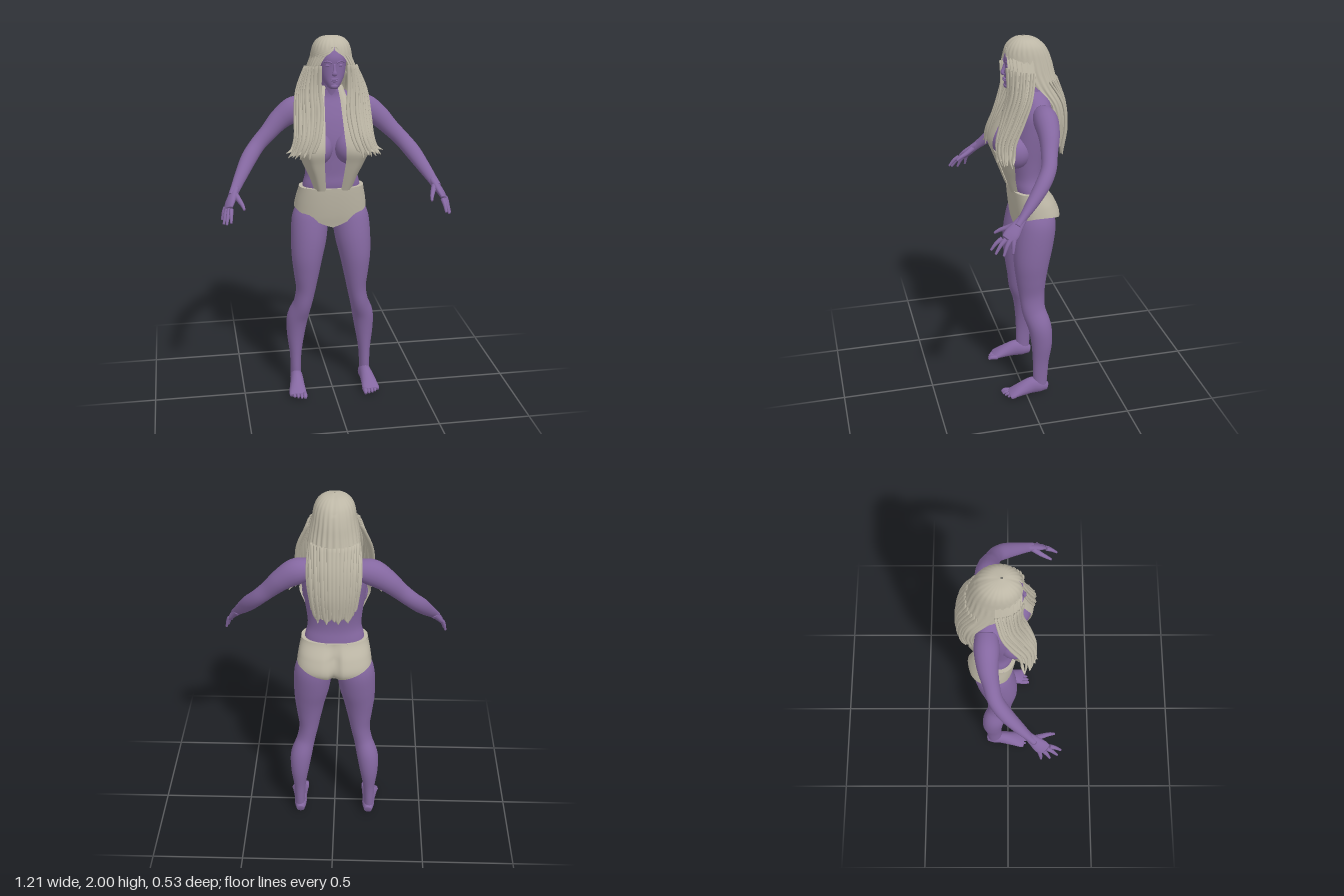
import * as THREE from 'three';
import { mergeVertices } from 'three/addons/utils/BufferGeometryUtils.js';

const skin = new THREE.MeshStandardMaterial({ color: 0x8568a1 });
skin.name = 'violet skin';
const pale = new THREE.MeshStandardMaterial({ color: 0xbdb7a6, side: THREE.DoubleSide });
pale.name = 'pale hair and fabric';

const { lerp } = THREE.MathUtils;
const V = (x, y, z) => new THREE.Vector3(x, y, z);
const TAU = Math.PI * 2;

// Smooth interpolation through rows of numbers, t in 0..1
function spline(rows, t) {
  const n = rows.length - 1, f = Math.min(Math.max(t, 0), 1) * n, i = Math.min(Math.floor(f), n - 1), k = f - i;
  const r = (j) => rows[Math.min(Math.max(j, 0), n)];
  return rows[0].map((_, c) => {
    const p0 = r(i - 1)[c], p1 = r(i)[c], p2 = r(i + 1)[c], p3 = r(i + 2)[c];
    return p1 + 0.5 * k * (p2 - p0 + k * (2 * p0 - 5 * p1 + 4 * p2 - p3 + k * (3 * (p1 - p2) + p3 - p0)));
  });
}

// Smooth surface from a rule fn(u, v) -> [x, y, z]; its front is du x dv
function surface(nu, nv, fn) {
  const pos = [], idx = [];
  for (let j = 0; j <= nv; j++) for (let i = 0; i <= nu; i++) pos.push(...fn(i / nu, j / nv));
  for (let j = 0; j < nv; j++) for (let i = 0; i < nu; i++) {
    const a = j * (nu + 1) + i, d = a + nu + 1;
    idx.push(a, a + 1, d + 1, a, d + 1, d);
  }
  let g = new THREE.BufferGeometry();
  g.setAttribute('position', new THREE.Float32BufferAttribute(pos, 3));
  g.setIndex(idx);
  g = mergeVertices(g, 1e-5);
  g.computeVertexNormals();
  return g;
}

// Rounded limb through stations [x, y, z, radius along side, other radius], closed at both ends
function sweep(rows, side = V(1, 0, 0), nu = 16, nv = rows.length * 5) {
  return surface(nu, nv + 2, (u, v) => {
    const j = Math.round(v * (nv + 2)), t = (Math.min(Math.max(j, 1), nv + 1) - 1) / nv;
    const [x, y, z, a, b] = spline(rows, t);
    if (j === 0 || j === nv + 2) return [x, y, z];
    const p = spline(rows, t - 0.01), q = spline(rows, t + 0.01);
    const T = V(q[0] - p[0], q[1] - p[1], q[2] - p[2]).normalize();
    const S = side.clone().addScaledVector(T, -side.dot(T)).normalize(), N = S.clone().cross(T);
    const ang = u * TAU;
    return V(x, y, z).addScaledVector(S, a * Math.sin(ang)).addScaledVector(N, b * Math.cos(ang)).toArray();
  });
}

// Point on a body section row [y, half width, front z, back z]; angle 0 faces front
function onSection([y, w, zf, zb], ang, power = 0.9) {
  const s = Math.sin(ang), c = Math.cos(ang), p = (n) => Math.sign(n) * Math.abs(n) ** power;
  return [w * p(s), y, (zf + zb) / 2 + (zf - zb) / 2 * p(c)];
}
const sections = (rows, nu = 40, nv = 36) => surface(nu, nv, (u, v) => onSection(spline(rows, v), u * TAU));

export function createModel() {
  const model = new THREE.Group();
  model.name = 'figure';
  const add = (name, geo, mat) => {
    const m = new THREE.Mesh(geo, mat);
    m.name = name;
    model.add(m);
  };
  // Adds a part on the left and its mirror image on the right
  const pair = (name, geo, mat) => {
    add(name + 'Left', geo, mat);
    const g = geo.clone().scale(-1, 1, 1);
    g.index.array.reverse();
    g.computeVertexNormals();
    add(name + 'Right', g, mat);
  };
  const ball = (x, y, z, a, b, c) => new THREE.SphereGeometry(1, 24, 16).scale(a, b, c).translate(x, y, z);

  // Torso, neck and head
  add('torso', sections([[1.08, .16, .01, -.15], [1.2, .155, .04, -.135], [1.27, .14, .04, -.125],
    [1.35, .145, .045, -.133], [1.45, .158, .05, -.155], [1.55, .168, .03, -.17], [1.62, .165, .005, -.17],
    [1.68, .115, -.02, -.155], [1.72, .055, -.02, -.125]]), skin);
  add('neck', sweep([[0, 1.64, -.08, .065, .055], [0, 1.72, -.065, .048, .048], [0, 1.82, -.04, .046, .048]]), skin);
  add('head', sections([[1.735, .004, .05, .04], [1.74, .024, .066, .0], [1.765, .044, .07, -.05],
    [1.80, .062, .068, -.09], [1.85, .073, .068, -.12], [1.9, .077, .068, -.13], [1.95, .064, .04, -.11],
    [1.98, .03, .0, -.07]]), skin);
  pair('breast', ball(.088, 1.42, .035, .083, .088, .085), skin);

  // Face
  add('nose', sweep([[0, 1.865, .066, .007, .006], [0, 1.835, .074, .008, .009], [0, 1.818, .08, .013, .009],
    [0, 1.81, .072, .012, .006]]), skin);
  add('upperLip', ball(0, 1.789, .069, .022, .005, .008), skin);
  add('lowerLip', ball(0, 1.78, .069, .018, .006, .008), skin);
  add('chin', ball(0, 1.752, .06, .02, .014, .014), skin);
  pair('eye', ball(.031, 1.858, .059, .014, .007, .007), skin);
  pair('brow', sweep([[.012, 1.872, .067, .004, .005], [.034, 1.88, .062, .004, .006], [.055, 1.872, .048, .003, .004]],
    V(0, 1, 0)), skin);

  // Legs and feet
  pair('leg', sweep([[.085, 1.12, -.075, .075, .075], [.1, 1.06, -.078, .088, .094], [.112, 1, -.074, .1, .105],
    [.122, .9, -.058, .098, .106], [.133, .8, -.045, .086, .097], [.138, .7, -.042, .07, .083],
    [.143, .6, -.045, .054, .07], [.16, .51, -.053, .051, .065], [.186, .42, -.08, .059, .064],
    [.196, .32, -.09, .051, .058], [.199, .2, -.085, .034, .045], [.2, .1, -.082, .029, .041],
    [.2, .04, -.082, .03, .036]], V(1, 0, 0), 24), skin);
  pair('foot', sweep([[.197, .03, -.122, .022, .024], [.198, .042, -.085, .034, .042], [.2, .05, -.035, .036, .049],
    [.205, .035, .03, .043, .035], [.208, .022, .075, .048, .021], [.209, .015, .098, .045, .013]]), skin);
  for (let i = 0; i < 5; i++) {
    const x = .172 + i * .019, r = i ? .009 : .013, z = .133 - i * i * .0025;
    pair('toe', sweep([[x, .016, .08, r, r], [x, .02, z - .018, r, r], [x, .011, z, r * .6, r * .6]],
      V(1, 0, 0), 10), skin);
  }

  // Arms and hands
  pair('arm', sweep([[.12, 1.62, -.1, .055, .055], [.19, 1.605, -.1, .062, .068], [.265, 1.555, -.096, .053, .057],
    [.33, 1.49, -.08, .042, .046], [.39, 1.43, -.06, .039, .042], [.44, 1.37, -.015, .038, .042],
    [.487, 1.3, .05, .03, .034], [.522, 1.245, .105, .02, .026], [.54, 1.215, .135, .02, .024]], V(0, 0, 1), 20), skin);
  const spread = V(-.04, .015, .1);
  pair('palm', sweep([[.52, 1.248, .1, .022, .019], [.54, 1.215, .135, .03, .019], [.557, 1.185, .165, .038, .017],
    [.567, 1.163, .188, .034, .012]], spread), skin);
  const knuckles = [[.553, 1.166, .212], [.562, 1.164, .196], [.572, 1.162, .178], [.579, 1.164, .16]];
  const tips = [[.558, 1.112, .27], [.58, 1.098, .252], [.594, 1.09, .215], [.6, 1.1, .17]];
  knuckles.forEach((k, i) => {
    const mid = k.map((n, c) => lerp(n, tips[i][c], .5) + (c === 1 ? .008 : 0));
    pair('finger', sweep([[...k, .012, .012], [...mid, .01, .01], [...tips[i], .006, .006]], spread, 10), skin);
  });
  pair('thumb', sweep([[.528, 1.225, .13, .016, .016], [.508, 1.2, .175, .013, .013], [.495, 1.185, .21, .01, .01],
    [.488, 1.168, .237, .006, .006]], V(1, 0, 0), 10), skin);

  // Briefs with curved leg openings and a rear cleft
  const hips = [[.96, .2, .022, -.165], [1.04, .2, .036, -.215], [1.12, .19, .046, -.192], [1.2, .174, .052, -.142]];
  add('briefs', surface(64, 20, (u, v) => {
    const ang = u * TAU, c = Math.cos(ang);
    const edge = 1.075 - (c > 0 ? .1 : .07) * (1 - Math.abs(Math.sin(ang)));
    const y = lerp(edge, 1.2, v), p = onSection(spline(hips, (y - .96) / .24), ang, .82);
    if (c < 0) p[2] += .035 * Math.exp(-((p[0] / .022) ** 2)) * Math.min(1, (1.2 - y) / .08);
    return [p[0], y, p[2]];
  }), pale);
  add('crotch', ball(0, 1.0, -.07, .05, .035, .08), pale);
  add('waistHem', surface(48, 1, (u, v) => onSection([1.2, lerp(.174, .14, v), lerp(.052, .03, v), lerp(-.142, -.12, v)],
    u * TAU, .82)), pale);

  // Straps: rows of inner x, outer x, y, z
  const strap = [[.04, .1, 1.19, .053], [.048, .128, 1.27, .083], [.055, .165, 1.35, .112], [.056, .188, 1.42, .134],
    [.05, .16, 1.5, .108], [.045, .12, 1.6, .05], [.04, .08, 1.68, .005], [.03, .06, 1.74, -.03]];
  pair('strap', surface(12, 32, (u, v) => {
    const [x0, x1, y, z] = spline(strap, v), s = u * 2 - 1, wide = (x1 - x0) / .132;
    return [lerp(x0, x1, u), y, z - (s > 0 ? .07 : .012) * s * s * wide];
  }), pale);

  // Hair crown and back: rows of height, half width, front z, back z, opening angle
  const shell = [[2, .003, -.02, -.03, 0], [1.99, .055, .02, -.085, 0], [1.965, .085, .052, -.125, 0],
    [1.93, .1, .07, -.15, .1], [1.88, .109, .078, -.17, .75], [1.82, .12, .07, -.185, 1.1], [1.75, .13, .02, -.205, 1.5],
    [1.67, .137, -.06, -.235, 1.57], [1.58, .135, -.09, -.25, 1.57], [1.5, .125, -.09, -.245, 1.57],
    [1.43, .115, -.09, -.235, 1.57]];
  const crown = (u, v, lift = 0) => {
    const [y, w, zf, zb, open] = spline(shell, v);
    const ang = lerp(TAU - open, open, u);
    const k = lift + .003 * Math.sin(ang * 26) * Math.min(1, v * 2);
    const p = onSection([y, w + k, zf + k, zb - k], ang, .95);
    if (v < .3) p[1] -= .006 * Math.exp(-((p[0] / .01) ** 2)) * v / .3;
    return p;
  };
  add('hairShell', surface(96, 50, (u, v) => crown(u, v)), pale);
  for (let i = 0; i < 15; i++) {
    const u = .22 + i * .04, drop = .02 + .03 * Math.abs(Math.sin(i * 2.3));
    const rows = [.55, .7, .85, 1].map((v, j) => [...crown(u, v, .002), .013, .006 + j * .001]);
    const [x, y, z] = rows[3];
    rows.push([x + .01 * Math.sin(i * 1.7), y - drop, z - .01 * Math.sin(i * 3.1), .003, .003]);
    add('backLock', sweep(rows, V(1, 0, 0), 8, 16), pale);
  }

  // Front hair falling over the shoulders, between an inner and an outer line
  const inner = [[.006, 1.952, .062], [.072, 1.86, .066], [.074, 1.74, .062], [.066, 1.62, .088], [.085, 1.5, .125],
    [.12, 1.42, .135]];
  const outer = [[.088, 1.945, -.05], [.128, 1.84, -.06], [.178, 1.72, -.03], [.192, 1.6, .02], [.198, 1.5, .065],
    [.22, 1.42, .075]];
  const fall = (t, v, lift = 0) => {
    const a = spline(inner, v), b = spline(outer, v), bulge = Math.sin(Math.PI * t) * .022 + lift;
    const wave = .004 * Math.sin(t * 38 + v * 5);
    return [lerp(a[0], b[0], t) + bulge * .6, lerp(a[1], b[1], t), lerp(a[2], b[2], t) + bulge + wave];
  };
  pair('frontHair', surface(40, 36, (u, v) => fall(u, v * (.9 + .06 * Math.sin(u * 23)))), pale);
  for (let i = 0; i < 11; i++) {
    const t = i / 10, sway = .025 * Math.sin(i * 2.1);
    const rows = [.2, .4, .6, .8, .95].map((v) => [...fall(t + sway * v, v, .003), .011, .006]);
    const [x, y, z] = rows[4];
    rows.push([x + .005 + .03 * t, y - .015 - .03 * Math.abs(Math.sin(i * 1.9)), z + .012 * Math.sin(i * 2.7), .002, .002]);
    pair('frontLock', sweep(rows, V(1, 0, -.4), 8, 20), pale);
  }
  return model;
}
